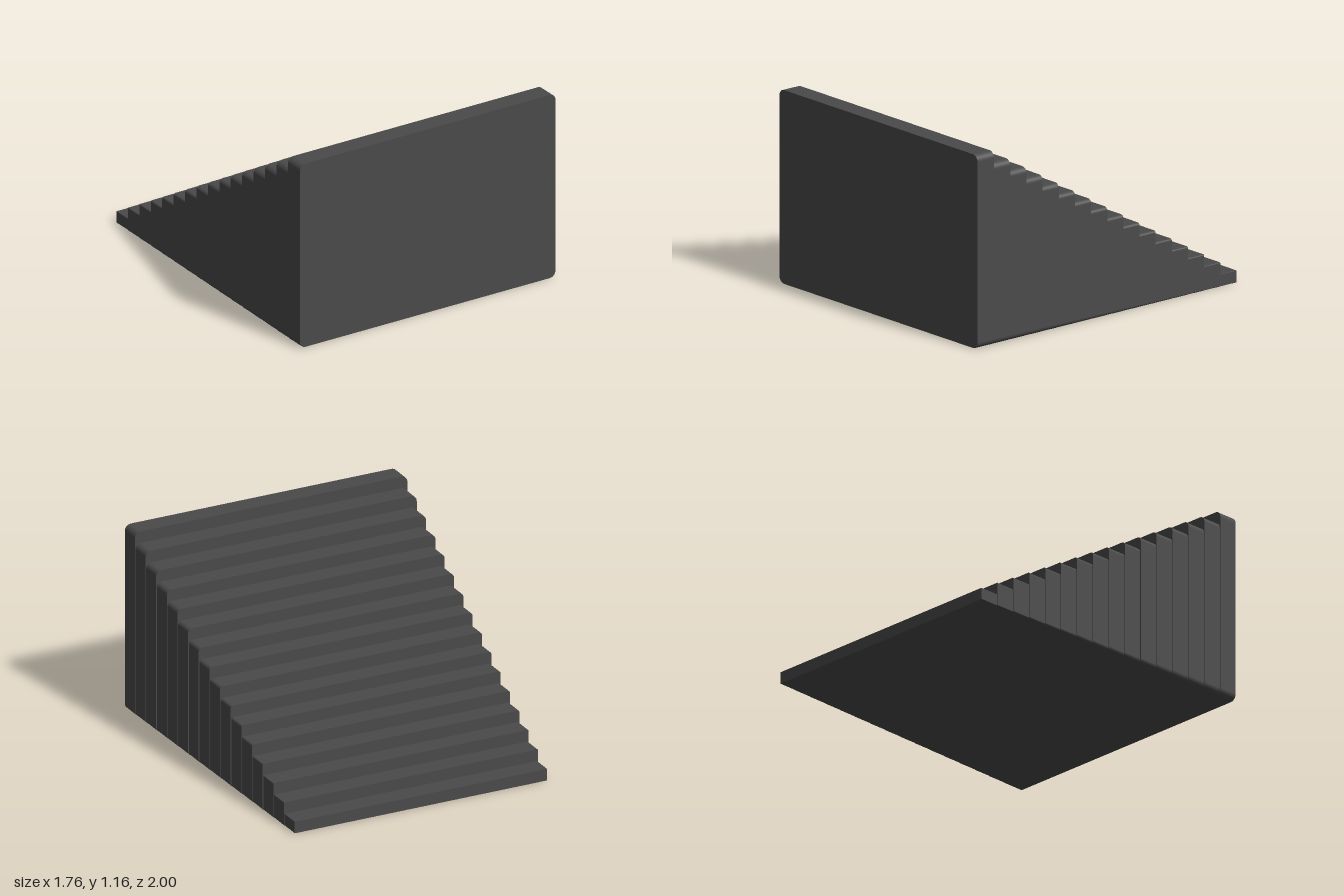
import * as THREE from 'three';

const STEPS = 16;
const DEPTH = 2 / STEPS;
const RISE = 1.16 / STEPS;

// Upright slab outline with rounded corners, standing on y = 0
function slabOutline(halfWidth, height, r) {
  const s = new THREE.Shape();
  s.moveTo(-halfWidth + r, 0);
  s.lineTo(halfWidth - r, 0);
  s.absarc(halfWidth - r, r, r, -Math.PI / 2, 0, false);
  s.absarc(halfWidth - r, height - r, r, 0, Math.PI / 2, false);
  s.absarc(-halfWidth + r, height - r, r, Math.PI / 2, Math.PI, false);
  s.absarc(-halfWidth + r, r, r, Math.PI, Math.PI * 1.5, false);
  return s;
}

export function createModel() {
  const group = new THREE.Group();
  group.name = 'steppedRamp';
  const charcoal = new THREE.MeshStandardMaterial({ color: 0x4a4a4a });
  charcoal.name = 'charcoal';

  // Steps rise and widen from the low back to the tall front
  for (let i = 0; i < STEPS; i++) {
    const t = i / (STEPS - 1);
    const height = RISE * (i + 1);
    const halfWidth = THREE.MathUtils.lerp(0.815, 0.88, t);
    const radius = 0.04 * (i + 1) / STEPS;
    const geometry = new THREE.ExtrudeGeometry(slabOutline(halfWidth, height, radius), {
      depth: DEPTH, bevelEnabled: false, curveSegments: 6,
    });
    const step = new THREE.Mesh(geometry, charcoal);
    step.name = `step${i + 1}`;
    step.position.z = -1 + i * DEPTH;
    group.add(step);
  }
  return group;
}
